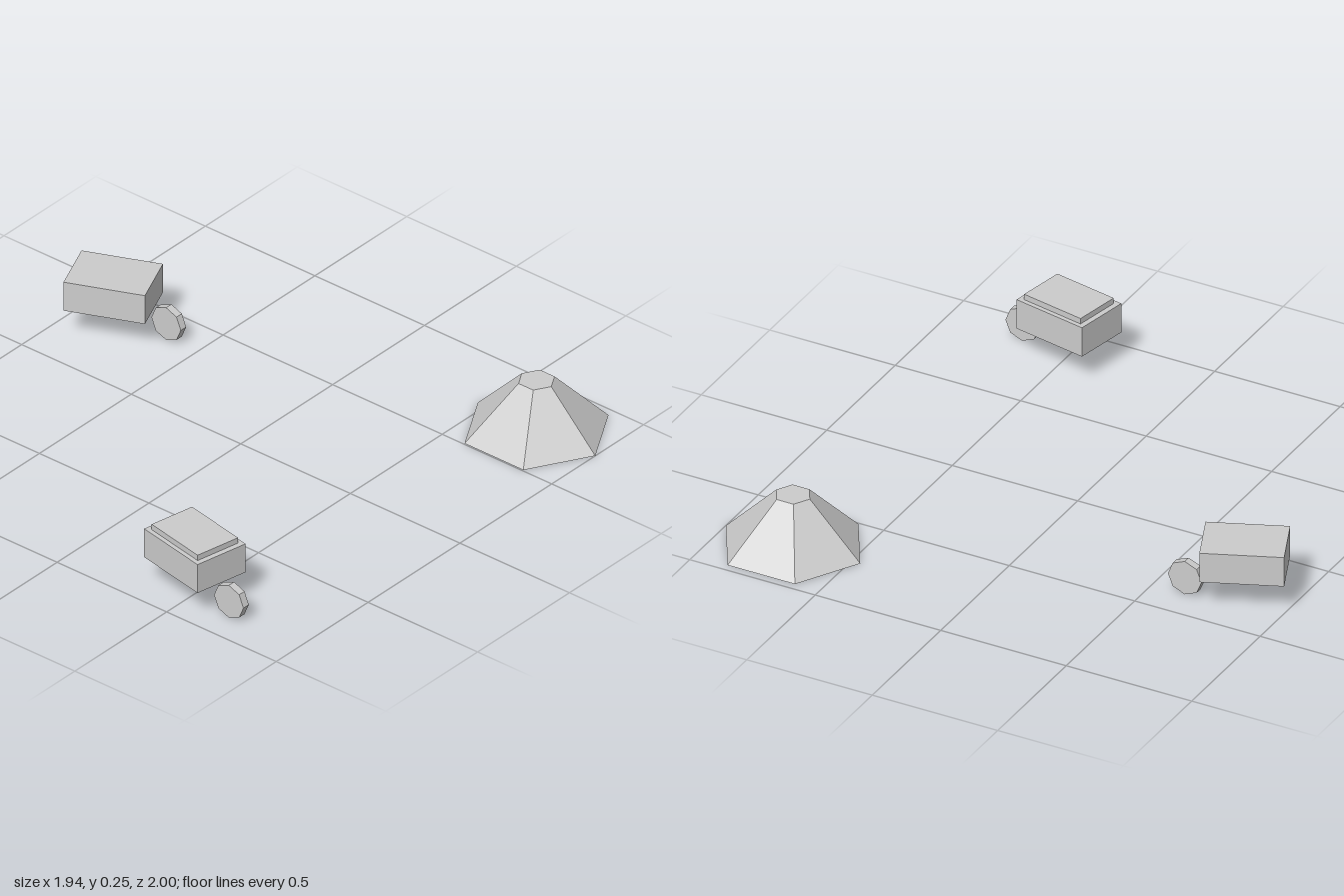
import * as THREE from 'three';

export function createModel() {
  const model = new THREE.Group();
  const grey = new THREE.MeshStandardMaterial({ color: 0xcccccc, flatShading: true });
  grey.name = 'plain grey';

  const add = (parent, name, geometry, x, y, z) => {
    const mesh = new THREE.Mesh(geometry, grey);
    mesh.name = name;
    mesh.position.set(x, y, z);
    parent.add(mesh);
    return mesh;
  };

  // Six-sided mound with a flat top
  add(model, 'mound', new THREE.CylinderGeometry(0.067, 0.268, 0.205, 6), 0.737, 0.1025, 0.732);

  // Turned crate with one upright eight-sided wheel at its front corner
  const cart = (name, x, z, turn, wheelX, wheelZ, hasLid) => {
    const group = new THREE.Group();
    group.name = name;
    model.add(group);
    add(group, 'crate', new THREE.BoxGeometry(0.215, 0.118, 0.298), x, 0.171, z).rotation.y = turn;
    if (hasLid) {
      add(group, 'lid', new THREE.BoxGeometry(0.181, 0.022, 0.257), x, 0.241, z).rotation.y = turn;
    }
    const wheel = new THREE.CylinderGeometry(0.067, 0.067, 0.029, 8).rotateZ(Math.PI / 2);
    add(group, 'wheel', wheel, wheelX, 0.067, wheelZ);
  };
  cart('liddedCart', -0.836, 0.491, -0.197, -0.874, 0.69, true);
  cart('plainCart', 0.286, -0.822, 0.4, 0.362, -0.632, false);

  return model;
}
